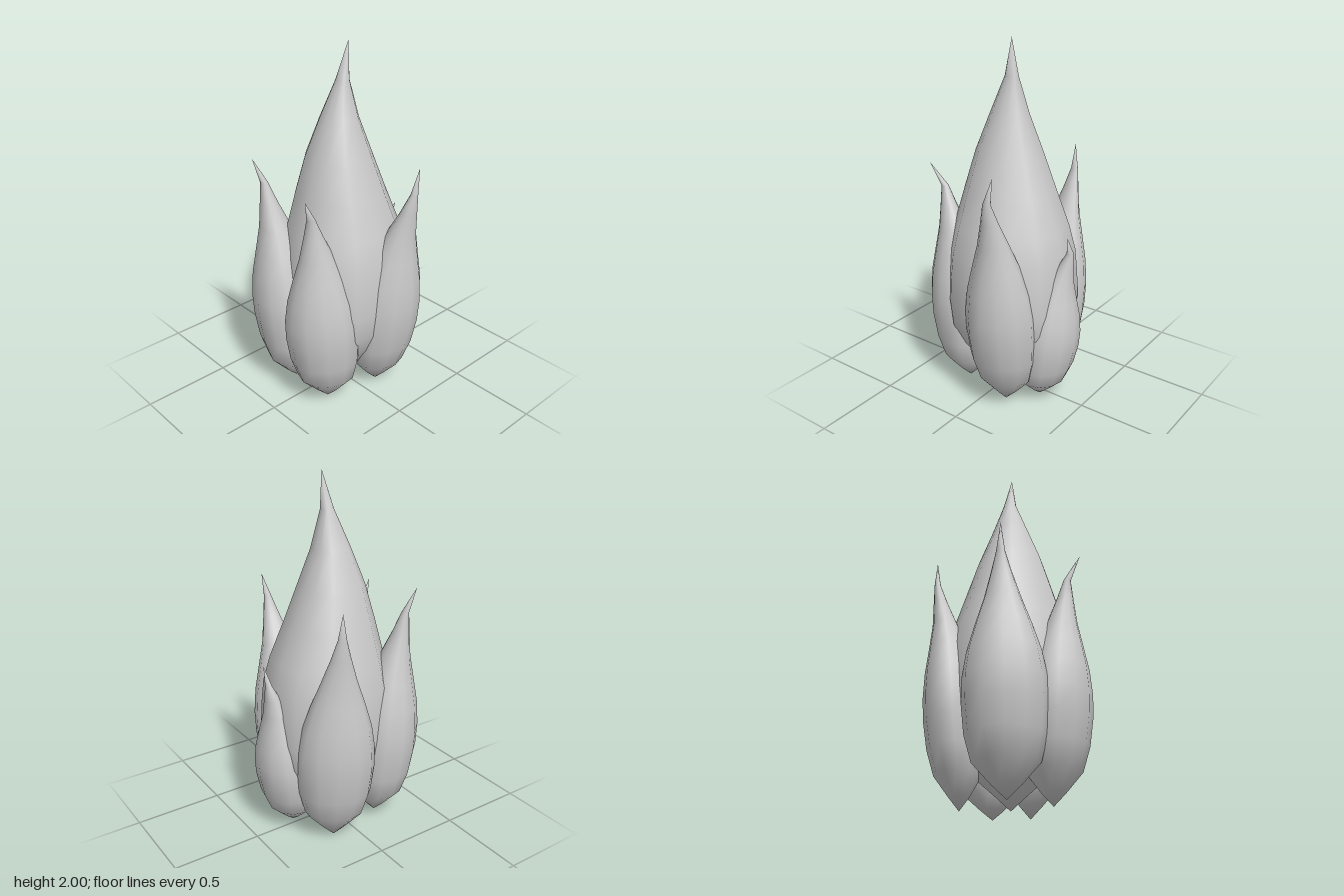
import * as THREE from 'three';

const SIDES = 12;

// Rings of an outer leaf: [height fraction, radius fraction, lean from base to neck]
const LEAF = [
  [0.05, 0.34, 0.02], [0.125, 0.78, 0.08], [0.22, 0.94, 0.18], [0.33, 1, 0.28], [0.42, 0.99, 0.34],
  [0.52, 0.88, 0.42], [0.62, 0.68, 0.52], [0.72, 0.45, 0.66], [0.82, 0.25, 0.86], [0.9, 0.11, 1],
];

// Rings of the large middle bud
const CORE = [
  [0.04, 0.24, 0.1], [0.1, 0.62, 0.4], [0.16, 0.84, 0.8], [0.22, 0.98, 1], [0.29, 1.02, 1], [0.36, 1, 1],
  [0.43, 0.96, 1], [0.5, 0.86, 0.9], [0.6, 0.68, 0.3], [0.7, 0.5, -0.1], [0.8, 0.29, 0], [0.9, 0.1, 0.8],
];

// Closed bud: a pointed base, turned elliptical rings following a bent axis, a pointed tip
function budGeometry(rings, { base, neck, tip, rx, rz, turn = 0, square = 0 }) {
  const height = tip[1];
  const c = Math.cos(turn), s = Math.sin(turn);
  const pos = [base[0], 0, base[1]];
  const index = [];
  for (const [t, r, lean] of rings) {
    const cx = base[0] + (neck[0] - base[0]) * lean;
    const cz = base[1] + (neck[1] - base[1]) * lean;
    for (let i = 0; i < SIDES; i++) {
      const a = (i / SIDES) * Math.PI * 2;
      const k = r * (1 + square * Math.sin(2 * a) ** 2);
      const u = Math.cos(a) * rx * k, v = Math.sin(a) * rz * k;
      pos.push(cx + u * c - v * s, t * height, cz + u * s + v * c);
    }
  }
  pos.push(...tip);
  const top = pos.length / 3 - 1;
  const last = 1 + (rings.length - 1) * SIDES;
  for (let i = 0; i < SIDES; i++) {
    const j = (i + 1) % SIDES;
    index.push(0, 1 + i, 1 + j);
    for (let k = 0; k < rings.length - 1; k++) {
      const a = 1 + k * SIDES + i, b = 1 + k * SIDES + j;
      index.push(a, a + SIDES, b, b, a + SIDES, b + SIDES);
    }
    index.push(last + i, top, last + j);
  }
  const g = new THREE.BufferGeometry();
  g.setAttribute('position', new THREE.Float32BufferAttribute(pos, 3));
  g.setIndex(index);
  g.computeVertexNormals();
  return g;
}

export function createModel() {
  const model = new THREE.Group();
  model.name = 'leafBudCluster';
  const paleGrey = new THREE.MeshStandardMaterial({ color: 0xcccccc });
  paleGrey.name = 'paleGrey';

  const add = (name, rings, spec) => {
    const mesh = new THREE.Mesh(budGeometry(rings, spec), paleGrey);
    mesh.name = name;
    model.add(mesh);
  };

  // Middle bud, slightly squarish in section
  add('centreBud', CORE, { base: [0, 0], neck: [0.022, 0.008], tip: [0.035, 2, 0.03], rx: 0.342, rz: 0.335, square: 0.09 });

  // Ring of outer leaves; base and neck are [x, z]
  add('frontLeaf', LEAF, { base: [0.115, 0.19], neck: [0.155, 0.4], tip: [0.19, 1.39, 0.4], rx: 0.205, rz: 0.18, square: -0.05 });
  add('frontRightLeaf', LEAF, { base: [-0.2, 0.12], neck: [-0.33, 0.15], tip: [-0.4, 1.31, 0.19], rx: 0.205, rz: 0.18, turn: 0.6 });
  add('backRightLeaf', LEAF, { base: [-0.21, -0.15], neck: [-0.31, -0.25], tip: [-0.36, 1.39, -0.28], rx: 0.215, rz: 0.19, turn: -0.98 });
  add('backLeaf', LEAF, { base: [0.13, -0.22], neck: [0.18, -0.365], tip: [0.18, 1.38, -0.37], rx: 0.21, rz: 0.155, turn: 0.5 });
  add('leftLeaf', LEAF, { base: [0.24, 0.035], neck: [0.395, 0], tip: [0.4, 1.01, 0.04], rx: 0.165, rz: 0.185 });
  return model;
}
